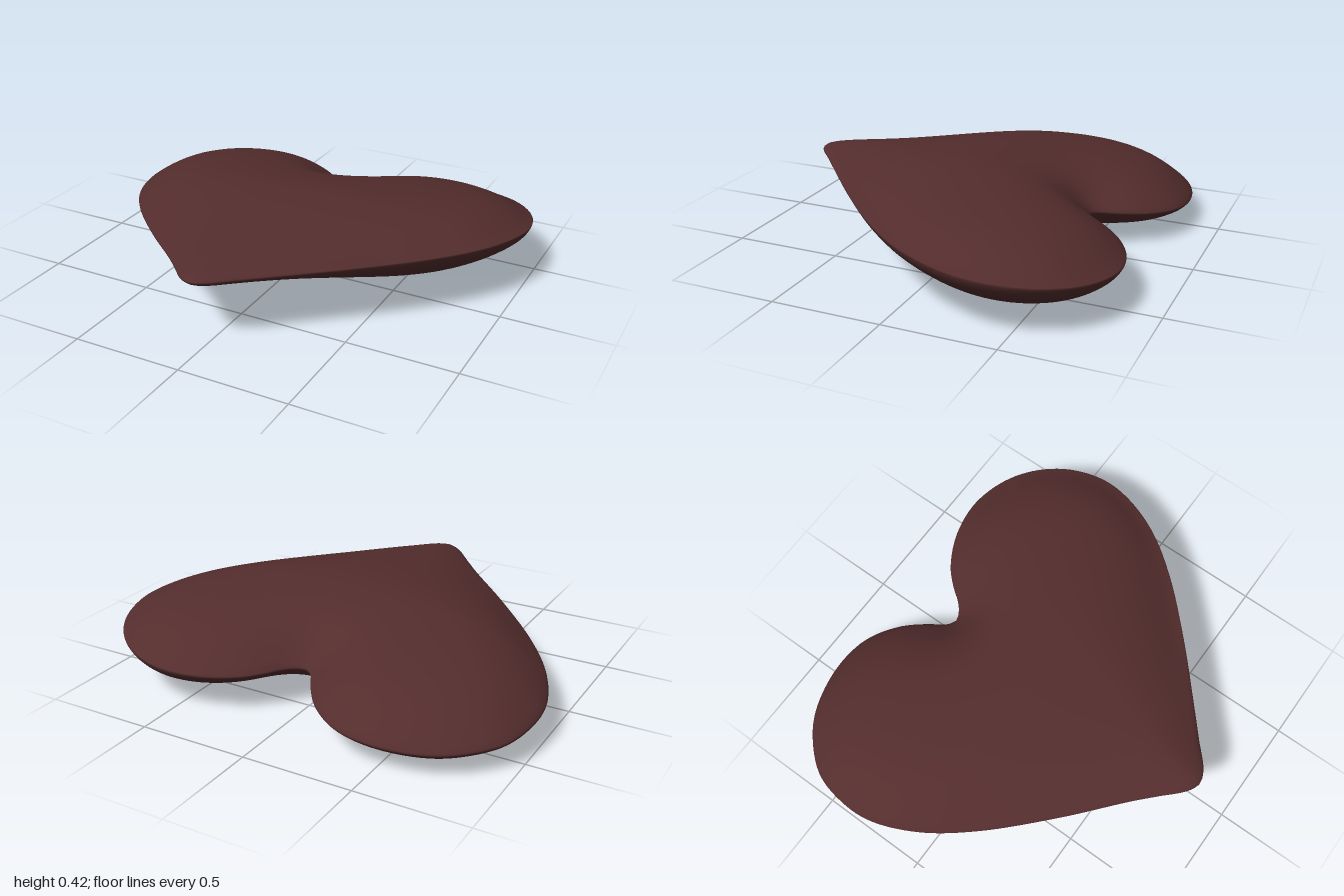
import * as THREE from 'three';
import { mergeVertices } from 'three/addons/utils/BufferGeometryUtils.js';

// Heart outline in plan (x, z), starting at the cleft
const OUTLINE = [
  [0, -0.525], [0.04, -0.54], [0.085, -0.58], [0.13, -0.64], [0.21, -0.72], [0.36, -0.80],
  [0.53, -0.83], [0.67, -0.805], [0.79, -0.745], [0.89, -0.65], [0.96, -0.53], [0.995, -0.37],
  [0.975, -0.22], [0.89, -0.02], [0.74, 0.18], [0.51, 0.41], [0.25, 0.64], [0.14, 0.735],
  [0.03, 0.83], [-0.03, 0.85], [-0.085, 0.825], [-0.175, 0.735], [-0.26, 0.65], [-0.50, 0.43],
  [-0.75, 0.17], [-0.90, -0.04], [-0.985, -0.25], [-0.995, -0.40], [-0.95, -0.59],
  [-0.81, -0.75], [-0.68, -0.82], [-0.49, -0.855], [-0.32, -0.83], [-0.18, -0.74],
  [-0.09, -0.63], [-0.04, -0.55],
];
const SEGMENTS = 200, RINGS = 26;
const CENTRE = { x: 0, z: -0.06 };

// Smooth distance from a point to the rim, from an inverse-cube integral over its segments
function rimDistance(x, z, rim) {
  let sum = 0;
  for (let i = 0; i < rim.length; i++) {
    const a = rim[i], b = rim[(i + 1) % rim.length];
    const len = Math.hypot(b.x - a.x, b.z - a.z);
    const ux = (b.x - a.x) / len, uz = (b.z - a.z) / len;
    const s1 = (a.x - x) * ux + (a.z - z) * uz, s2 = s1 + len;
    const d2 = ((a.x - x) * uz - (a.z - z) * ux) ** 2 + 1e-6;
    sum += (s2 / Math.sqrt(s2 * s2 + d2) - s1 / Math.sqrt(s1 * s1 + d2)) / d2;
  }
  return Math.sqrt(2 / sum);
}

// Half thickness: rounded rim, then a lens that thins toward the tip
function halfThickness(d, z) {
  const rimRound = 0.01 * Math.sqrt(1 - (1 - Math.min(d / 0.03, 1)) ** 2);
  const lens = 0.18 * Math.tanh(d / 0.24);
  return rimRound + lens * (1 - 0.35 * THREE.MathUtils.smoothstep(z, -0.1, 0.6));
}

// Tilted middle surface, sagging a little inside the left lobe
function middle(x, z, d) {
  const sag = 0.035 * THREE.MathUtils.smoothstep(x, 0.1, 0.7) * d / (d + 0.03);
  return 0.24 + 0.0625 * x + 0.095 * z - sag;
}

function cushionGeometry() {
  const curve = new THREE.CatmullRomCurve3(
    OUTLINE.map(([x, z]) => new THREE.Vector3(x, 0, z)), true, 'centripetal');
  const rim = curve.getSpacedPoints(SEGMENTS).slice(0, SEGMENTS);
  const positions = [], index = [];

  // Rings run from the top centre out to the rim and back under to the bottom centre
  for (let i = 0; i <= 2 * RINGS; i++) {
    const t = Math.sin((i / RINGS) * Math.PI / 2);
    const side = Math.sign(RINGS - i);
    for (const p of rim) {
      const x = CENTRE.x + (p.x - CENTRE.x) * t;
      const z = CENTRE.z + (p.z - CENTRE.z) * t;
      const d = side === 0 ? 0 : rimDistance(x, z, rim);
      positions.push(x, middle(x, z, d) + side * halfThickness(d, z), z);
    }
  }
  for (let i = 0; i < 2 * RINGS; i++) {
    for (let j = 0; j < SEGMENTS; j++) {
      const k = (j + 1) % SEGMENTS;
      const a = i * SEGMENTS + j, b = i * SEGMENTS + k;
      const c = a + SEGMENTS, d = b + SEGMENTS;
      if (i < 2 * RINGS - 1) index.push(a, d, c);
      if (i > 0) index.push(a, b, d);
    }
  }
  let geometry = new THREE.BufferGeometry();
  geometry.setAttribute('position', new THREE.Float32BufferAttribute(positions, 3));
  geometry.setIndex(index);
  geometry = mergeVertices(geometry, 1e-5);
  geometry.computeVertexNormals();
  geometry.computeBoundingBox();
  geometry.translate(0, -geometry.boundingBox.min.y, 0);
  return geometry;
}

export function createModel() {
  const model = new THREE.Group();
  model.name = 'heart';
  const brown = new THREE.MeshStandardMaterial({ color: 0x542d2d });
  brown.name = 'dark reddish brown';

  // Puffed heart body
  const body = new THREE.Mesh(cushionGeometry(), brown);
  body.name = 'heartBody';
  model.add(body);
  return model;
}
